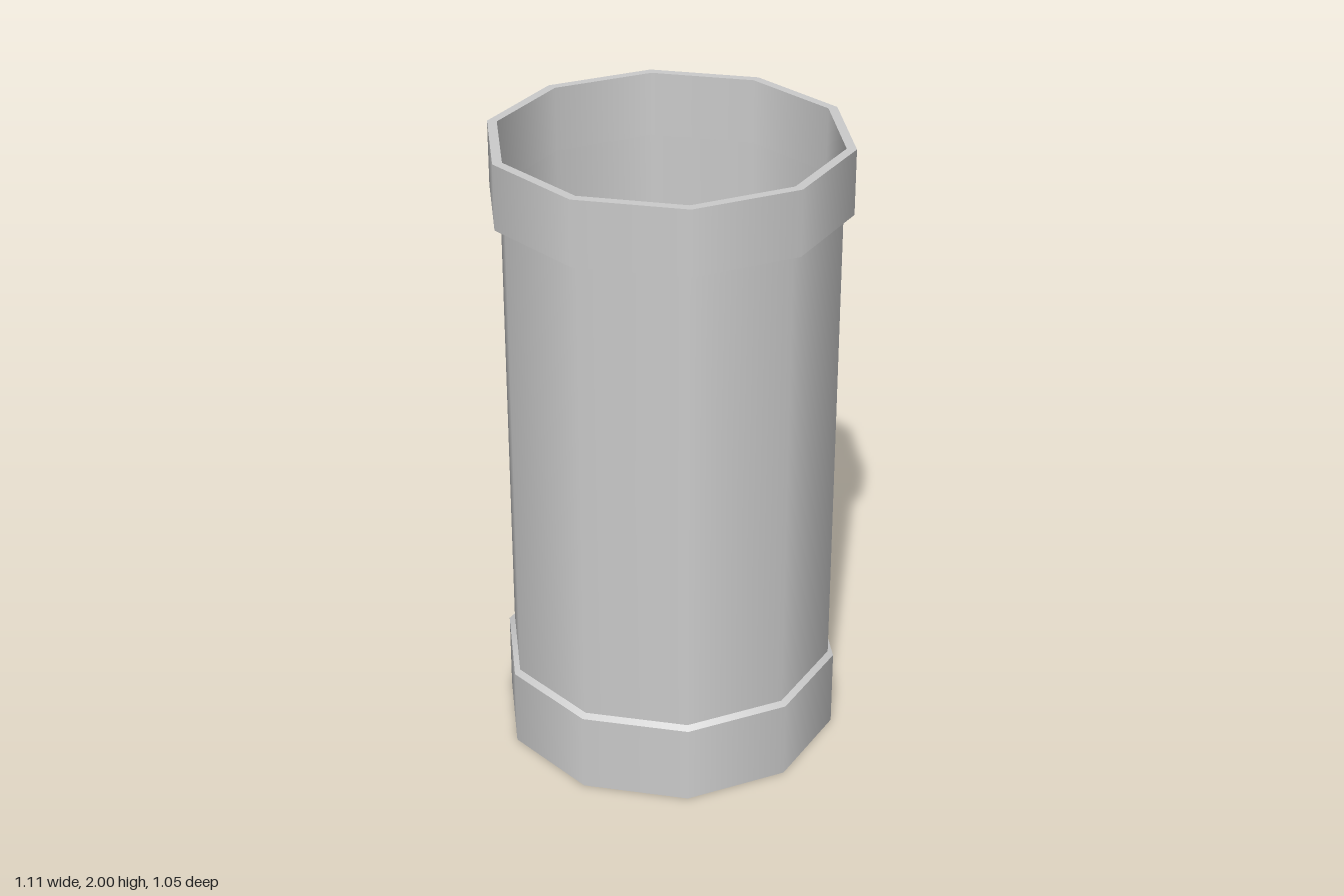
import * as THREE from 'three';

const SIDES = 10;
const R_BODY = 0.521, R_BASE = 0.539, R_CAP = 0.553;
const Y_BASE = 0.253, Y_FLOOR = 0.266, Y_CAP = 1.795, Y_TOP = 2;

const material = new THREE.MeshStandardMaterial({ color: 0xcccccc, side: THREE.DoubleSide });

// One ten-sided band between two [radius, y] points, smooth around, sharp at its ends
function band(name, from, to) {
  const profile = [from, to].map(([r, y]) => new THREE.Vector2(r, y));
  const mesh = new THREE.Mesh(new THREE.LatheGeometry(profile, SIDES, Math.PI / 2), material);
  mesh.name = name;
  return mesh;
}

// A named group of bands following a list of [radius, y] points
function shell(name, points) {
  const group = new THREE.Group();
  group.name = name;
  for (let i = 1; i < points.length; i++) {
    group.add(band(`${name}Band${i}`, points[i - 1], points[i]));
  }
  return group;
}

export function createModel() {
  const model = new THREE.Group();
  model.name = 'openCanister';

  // Thin skirt with a small bevel, open underneath
  model.add(shell('baseRing', [[R_BASE, 0], [R_BASE, Y_BASE], [R_BODY, Y_FLOOR]]));

  // Thin-walled body
  model.add(band('bodyWall', [R_BODY, Y_FLOOR], [R_BODY, Y_CAP]));

  // Thick rim: underside, outer wall, top face, inner wall
  model.add(shell('topRim', [
    [R_BODY, Y_CAP], [R_CAP, Y_CAP], [R_CAP, Y_TOP], [R_BODY + 0.002, Y_TOP], [R_BODY, Y_CAP],
  ]));

  // Recessed floor closing the body
  const floor = new THREE.Mesh(new THREE.CircleGeometry(R_BODY, SIDES), material);
  floor.name = 'floor';
  floor.rotation.x = -Math.PI / 2;
  floor.position.y = Y_FLOOR;
  model.add(floor);

  return model;
}
